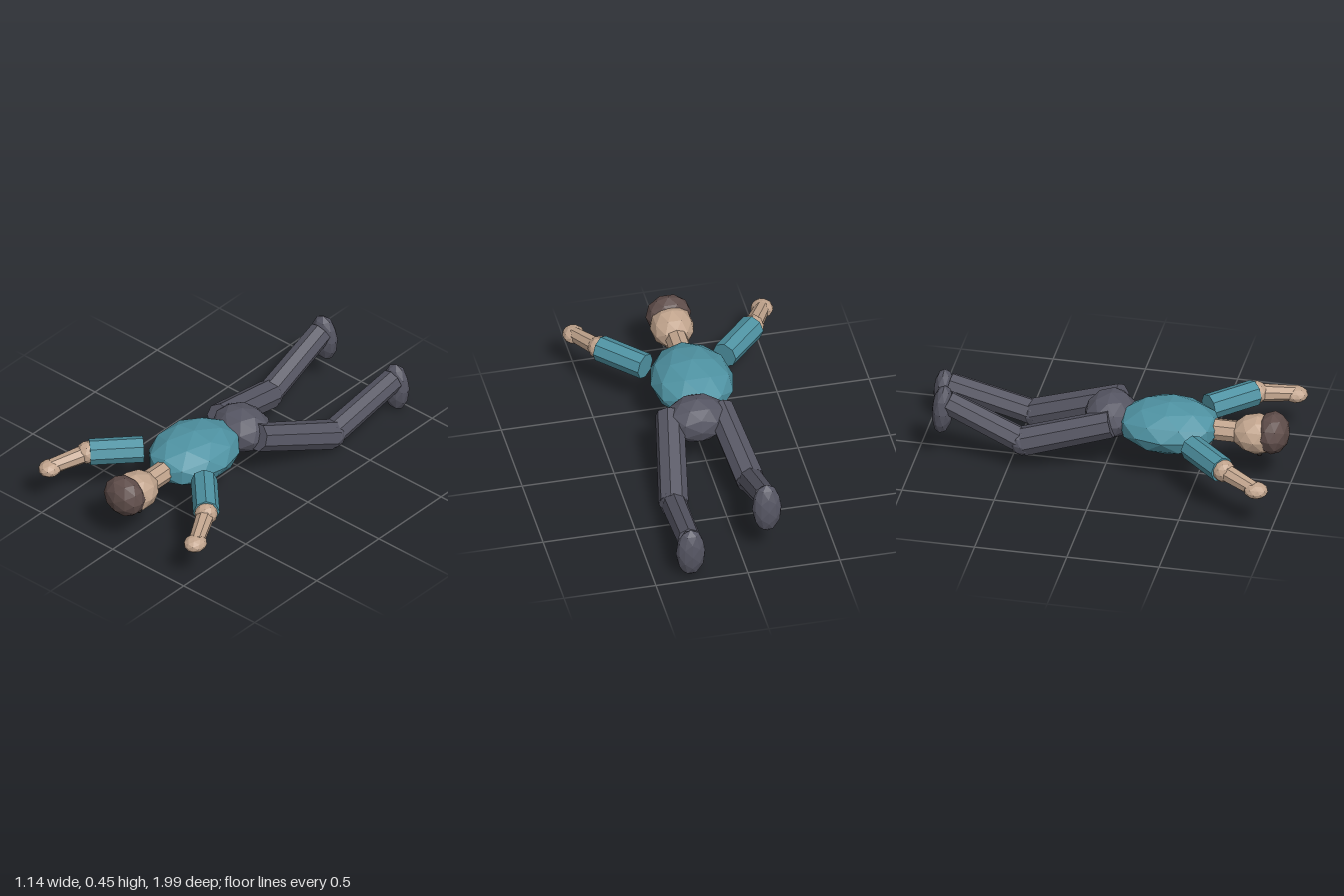
import * as THREE from 'three';

const mat = (name, color) => {
  const m = new THREE.MeshStandardMaterial({ color });
  m.name = name;
  m.flatShading = true;
  return m;
};

export function createModel() {
  const group = new THREE.Group();
  group.name = 'lyingFigure';
  const shirt = mat('teal shirt', 0x4f93a3);
  const skin = mat('skin', 0xc2a58e);
  const hair = mat('brown hair', 0x5f4d4a);
  const cloth = mat('grey trousers', 0x565663);
  const dark = mat('dark eyes', 0x2a2422);

  const add = (name, geometry, material) => {
    const mesh = new THREE.Mesh(geometry, material);
    mesh.name = name;
    group.add(mesh);
    return mesh;
  };

  // Faceted ellipsoid from centre and radii, optionally pitched about x
  const blob = (name, material, center, radii, pitch = 0) => {
    const mesh = add(name, new THREE.IcosahedronGeometry(1, 1), material);
    mesh.position.set(...center);
    mesh.scale.set(...radii);
    mesh.rotation.x = pitch;
    return mesh;
  };

  // Eight-sided limb running between two points
  const limb = (name, material, from, to, r0, r1 = r0) => {
    const a = new THREE.Vector3(...from), b = new THREE.Vector3(...to);
    const d = b.clone().sub(a);
    const mesh = add(name, new THREE.CylinderGeometry(r1, r0, d.length(), 8), material);
    mesh.position.copy(a).add(b).multiplyScalar(0.5);
    mesh.quaternion.setFromUnitVectors(new THREE.Vector3(0, 1, 0), d.normalize());
    return mesh;
  };

  // Trunk
  blob('torso', shirt, [0, 0.285, 0.345], [0.224, 0.136, 0.28]);
  blob('hips', cloth, [0.048, 0.285, 0.015], [0.172, 0.125, 0.14]);

  // Head, face turned down to the ground
  limb('neck', skin, [0, 0.285, 0.58], [0, 0.285, 0.74], 0.06);
  blob('head', skin, [0, 0.285, 0.82], [0.118, 0.107, 0.14]);
  blob('hair', hair, [0, 0.302, 0.905], [0.124, 0.114, 0.09]);

  // Arms stretched forward, mirrored
  for (const s of [1, -1]) {
    const side = s > 0 ? 'left' : 'right';
    blob(side + 'Eye', dark, [s * 0.045, 0.189, 0.84], [0.014, 0.012, 0.014]);
    limb(side + 'UpperArm', shirt, [s * 0.215, 0.287, 0.51], [s * 0.412, 0.287, 0.717], 0.071);
    blob(side + 'Elbow', skin, [s * 0.417, 0.287, 0.725], [0.062, 0.062, 0.062]);
    limb(side + 'Forearm', skin, [s * 0.417, 0.285, 0.725], [s * 0.51, 0.25, 0.91], 0.05, 0.042);
    blob(side + 'Hand', skin, [s * 0.512, 0.245, 0.92], [0.06, 0.044, 0.066]);
  }

  // Legs, each bent at the knee by a different amount
  const legs = [
    { side: 'left', hip: [0.187, 0.305, 0.05], knee: [0.278, 0.098, -0.44],
      ankle: [0.298, 0.205, -0.91], foot: [0.298, 0.147, -0.94], pitch: 0 },
    { side: 'right', hip: [-0.085, 0.3, 0.045], knee: [-0.143, 0.17, -0.42],
      ankle: [-0.135, 0.355, -0.83], foot: [-0.135, 0.308, -0.857], pitch: 0.07 },
  ];
  for (const { side, hip, knee, ankle, foot, pitch } of legs) {
    limb(side + 'Thigh', cloth, hip, knee, 0.077, 0.081);
    blob(side + 'Knee', cloth, knee, [0.078, 0.078, 0.078]);
    limb(side + 'Shin', cloth, knee, ankle, 0.07, 0.065);
    blob(side + 'Foot', cloth, foot, [0.08, 0.145, 0.058], pitch);
  }
  return group;
}
